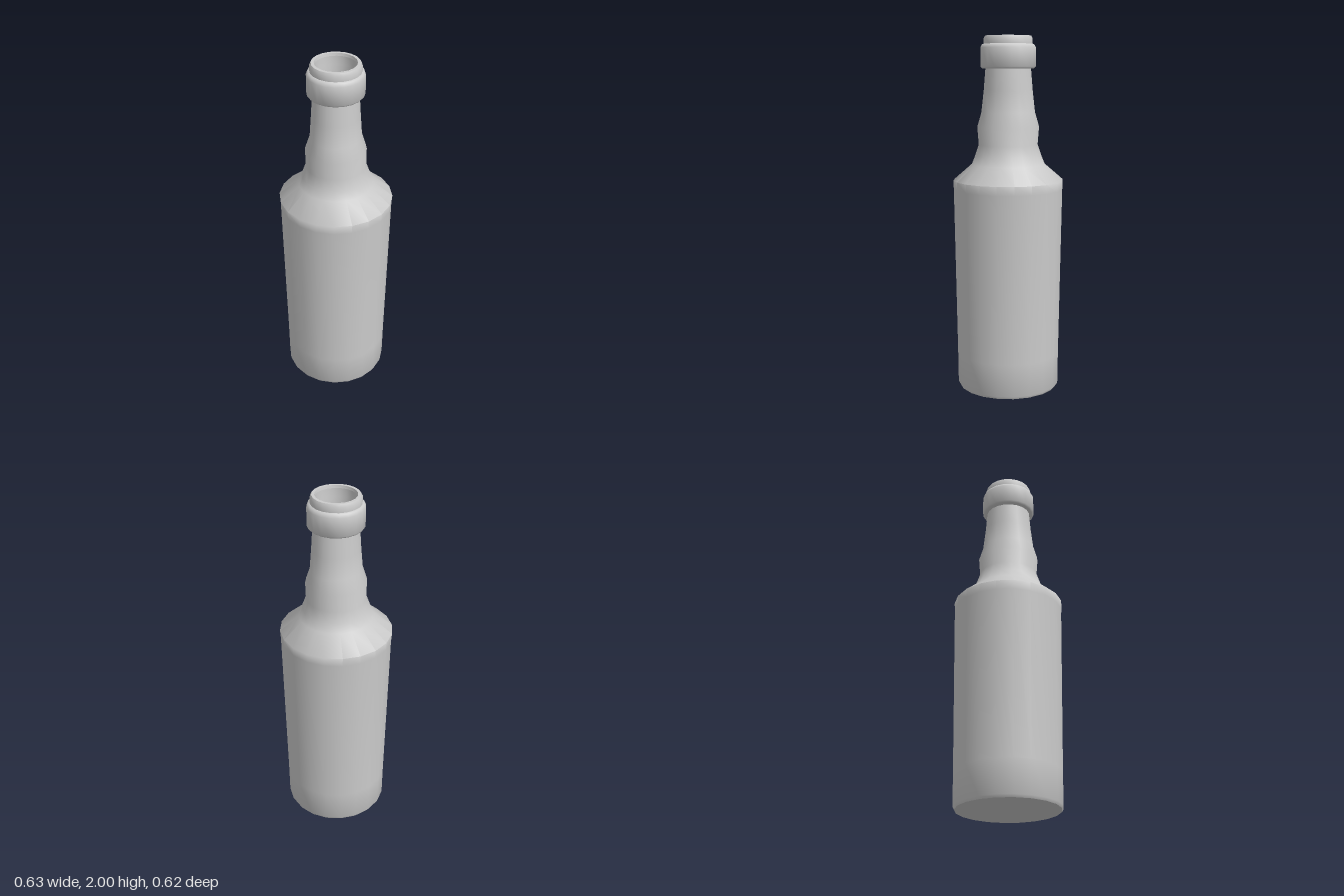
import * as THREE from 'three';
import { toCreasedNormals } from 'three/addons/utils/BufferGeometryUtils.js';

const SIDES = 20;

// Revolves rings of [y, radius in x, radius in z (optional)] into a 20-sided surface.
function revolve(name, rings, material) {
  const points = rings.map(([y, rx]) => new THREE.Vector2(rx, y));
  const geometry = new THREE.LatheGeometry(points, SIDES);
  const pos = geometry.attributes.position;
  for (let i = 0; i < pos.count; i++) {
    const [, rx, rz = rx] = rings[i % rings.length];
    if (rx > 0) pos.setZ(i, pos.getZ(i) * rz / rx);
  }
  const mesh = new THREE.Mesh(toCreasedNormals(geometry, 0.95), material);
  mesh.name = name;
  return mesh;
}

export function createModel() {
  const group = new THREE.Group();
  group.name = 'bottle';
  const glass = new THREE.MeshStandardMaterial({ color: 0xcccccc });

  // Base, tapered body, shoulder and swelling neck
  group.add(revolve('body', [
    [0, 0], [0, 0.284], [0.015, 0.292], [0.2, 0.294],
    [1.15, 0.311, 0.309], [1.2, 0.315, 0.311],
    [1.29, 0.207], [1.34, 0.187], [1.4, 0.165, 0.167],
    [1.5, 0.165, 0.175], [1.58, 0.138, 0.152],
    [1.7, 0.13, 0.138], [1.82, 0.123, 0.128],
  ], glass));

  // Thick collar band with rounded edges
  group.add(revolve('collar', [
    [1.82, 0.123, 0.128], [1.822, 0.145], [1.832, 0.153, 0.155],
    [1.935, 0.153, 0.155], [1.952, 0.146], [1.956, 0.136],
  ], glass));

  // Lip rolling over into the mouth
  group.add(revolve('lip', [
    [1.956, 0.136], [1.985, 0.136], [2, 0.128], [2, 0.112], [1.985, 0.109],
  ], glass));

  // Inside wall from mouth down to the floor
  group.add(revolve('interior', [
    [1.985, 0.109], [1.94, 0.107], [1.82, 0.095], [1.58, 0.11],
    [1.4, 0.14], [1.29, 0.18], [1.19, 0.285], [0.03, 0.265], [0.03, 0],
  ], glass));

  return group;
}
